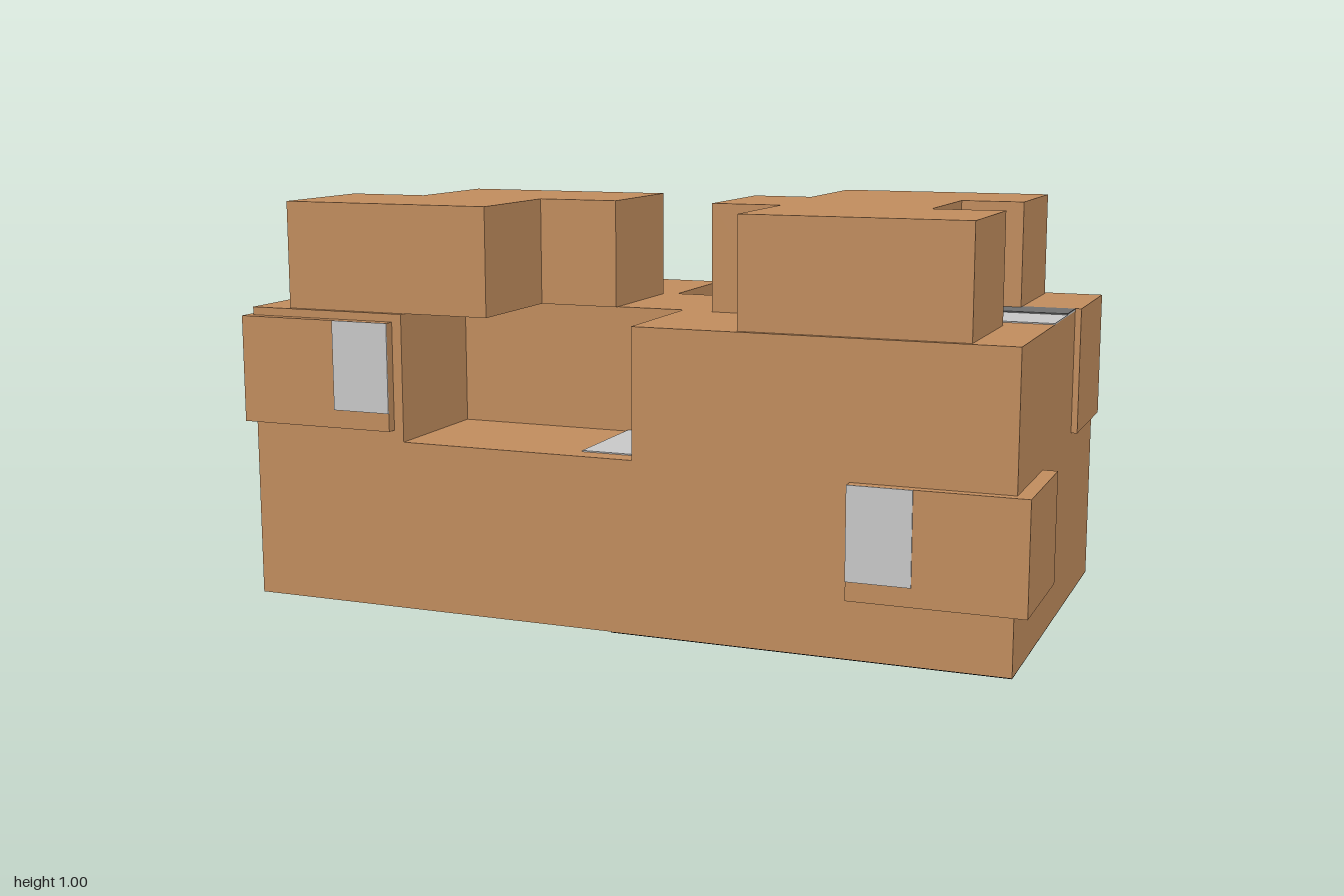
import * as THREE from 'three';

const mat = (name, color) => {
  const m = new THREE.MeshStandardMaterial({ color });
  m.name = name;
  return m;
};

export function createModel() {
  const model = new THREE.Group();
  model.name = 'boxStack';
  const cardboard = mat('cardboard', 0xc08c5d);
  const label = mat('paleLabel', 0xc8c8c8);
  const grey = mat('greyMark', 0x6e6e6e);
  const black = mat('blackUnderside', 0x050505);

  const add = (name, geometry, material) => {
    const mesh = new THREE.Mesh(geometry, material);
    mesh.name = name;
    model.add(mesh);
  };
  // Box given by its limits on each axis
  const box = (name, [x0, x1], [y0, y1], [z0, z1], material = cardboard) => {
    const g = new THREE.BoxGeometry(x1 - x0, y1 - y0, z1 - z0);
    g.translate((x0 + x1) / 2, (y0 + y1) / 2, (z0 + z1) / 2);
    add(name, g, material);
  };
  // Upright slab from an outline of [x, z] points
  const slab = (name, outline, y0, y1) => {
    const shape = new THREE.Shape(outline.map(([x, z]) => new THREE.Vector2(x, -z)));
    const g = new THREE.ExtrudeGeometry(shape, { depth: y1 - y0, bevelEnabled: false });
    g.rotateX(-Math.PI / 2).translate(0, y0, 0);
    add(name, g, cardboard);
  };

  // Main body: solid base, then an upper layer with a front and a back recess
  box('bodyBase', [-0.965, 0.965], [0, 0.42], [-0.467, 0.5]);
  slab('bodyUpper', [
    [-0.965, 0.5], [-0.545, 0.5], [-0.545, 0.168], [0.06, 0.168], [0.06, 0.5], [0.965, 0.5],
    [0.965, -0.467], [0.505, -0.467], [0.505, -0.15], [-0.08, -0.15], [-0.08, -0.467], [-0.965, -0.467],
  ], 0.42, 0.735);

  // Stepped boxes on top
  slab('topBoxesRight', [
    [-0.865, 0.487], [-0.32, 0.487], [-0.32, 0.18], [-0.115, 0.18],
    [-0.115, -0.135], [-0.66, -0.135], [-0.66, 0.168], [-0.865, 0.168],
  ], 0.735, 1);
  slab('topBoxesLeft', [
    [0.315, 0.487], [0.855, 0.487], [0.855, 0.17], [0.68, 0.17], [0.68, -0.14], [0.835, -0.14],
    [0.835, -0.455], [0.292, -0.455], [0.292, -0.135], [0.14, -0.135], [0.14, 0.18], [0.315, 0.18],
  ], 0.735, 1);

  // Boxes jutting out at the corners
  box('cornerBoxFrontRight', [-0.982, -0.57], [0.448, 0.715], [0.21, 0.525]);
  box('cornerBoxFrontLeft', [0.588, 1], [0.143, 0.41], [0.21, 0.525]);
  box('cornerBoxBackRight', [-1, -0.54], [0.11, 0.422], [-0.528, -0.212]);
  box('cornerBoxBackLeft', [0.518, 0.98], [0.43, 0.741], [-0.478, -0.16]);

  // Thin labels at the inner ends of the corner boxes
  const t = 0.003;
  box('labelFrontRight', [-0.722, -0.57], [0.493, 0.715], [0.525, 0.525 + t], label);
  box('labelFrontLeft', [0.588, 0.74], [0.188, 0.41], [0.525, 0.525 + t], label);
  box('labelBackRight', [-0.705, -0.54], [0.17, 0.422], [-0.528 - t, -0.528], label);
  box('labelBackLeft', [0.518, 0.685], [0.49, 0.741], [-0.478 - t, -0.478], label);

  // Labels on upward faces
  box('labelFrontRecess', [-0.09, 0.06], [0.42, 0.42 + t], [0.168, 0.447], label);
  box('labelBodyTop', [0.68, 0.965], [0.735, 0.735 + t], [-0.16, 0.115], label);

  // Grey mark with one rounded corner, lying on the body top label
  const mark = new THREE.Shape();
  mark.moveTo(0.965, 0.16);
  mark.lineTo(0.72, 0.16);
  mark.lineTo(0.72, 0.09);
  mark.quadraticCurveTo(0.72, 0.052, 0.76, 0.052);
  mark.lineTo(0.965, 0.052);
  const markGeometry = new THREE.ExtrudeGeometry(mark, { depth: t, bevelEnabled: false });
  markGeometry.rotateX(-Math.PI / 2).translate(0, 0.735 + t, 0);
  add('greyMark', markGeometry, grey);

  // Black half of the underside
  box('blackUnderside', [0.005, 0.965], [-0.002, 0], [-0.467, 0.5], black);

  return model;
}
